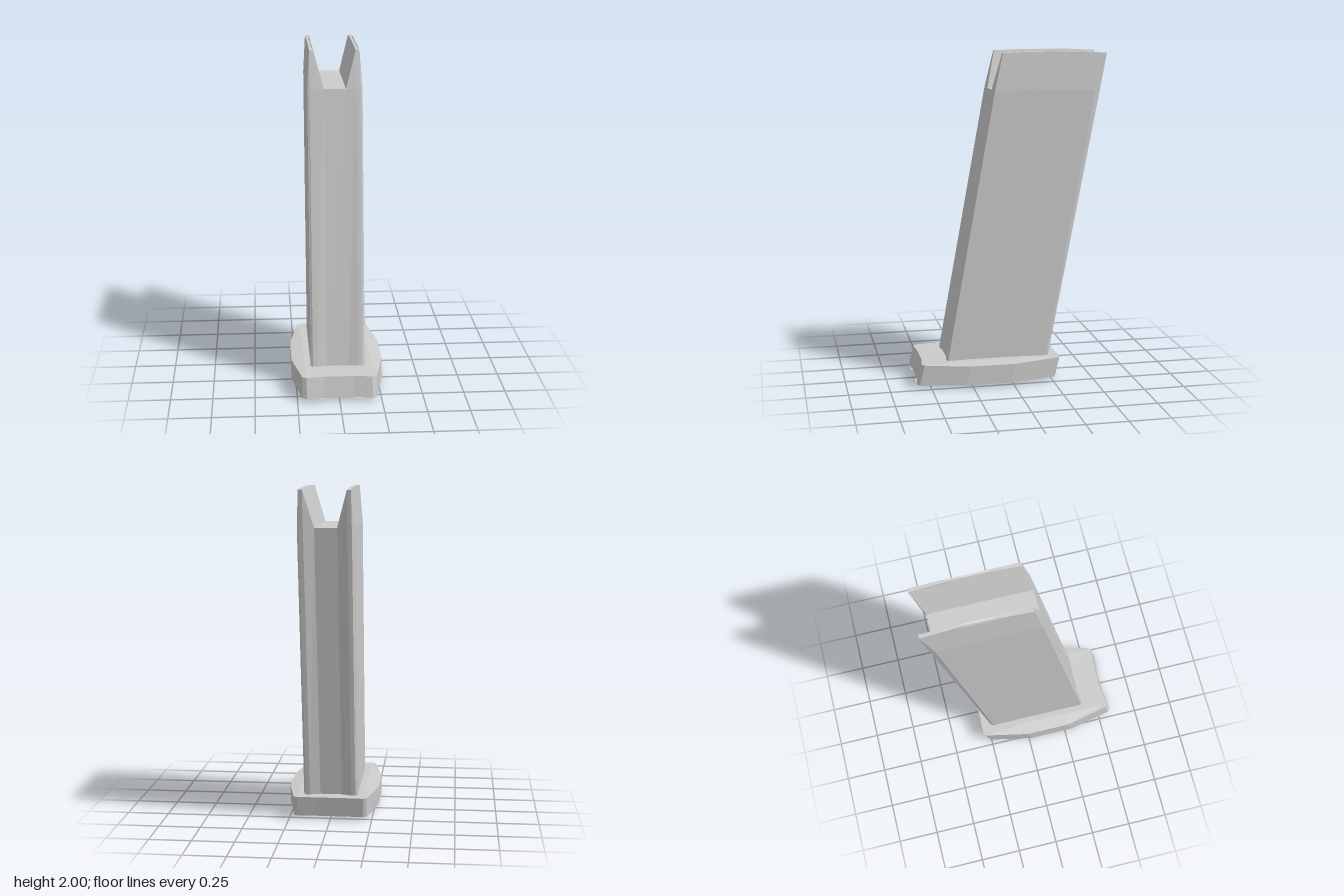
import * as THREE from 'three';

const material = new THREE.MeshStandardMaterial({ color: 0xcccccc, flatShading: true });

// Skin a stack of closed rings (bottom to top, counter-clockwise from above) and cap both ends.
function loft(name, rings) {
  const pos = [];
  const tri = (...points) => points.forEach((p) => pos.push(...p));
  const n = rings[0].length;
  for (let r = 0; r < rings.length - 1; r++) {
    for (let i = 0; i < n; i++) {
      const j = (i + 1) % n;
      const [a, b, c, d] = [rings[r][i], rings[r][j], rings[r + 1][j], rings[r + 1][i]];
      tri(a, b, c);
      tri(a, c, d);
    }
  }
  const cap = (ring, up) => {
    const mid = [0, 1, 2].map((k) => ring.reduce((s, p) => s + p[k], 0) / n);
    for (let i = 0; i < n; i++) {
      const j = (i + 1) % n;
      if (up) tri(mid, ring[i], ring[j]);
      else tri(mid, ring[j], ring[i]);
    }
  };
  cap(rings[0], false);
  cap(rings[rings.length - 1], true);
  const geometry = new THREE.BufferGeometry();
  geometry.setAttribute('position', new THREE.Float32BufferAttribute(pos, 3));
  geometry.computeVertexNormals();
  const mesh = new THREE.Mesh(geometry, material);
  mesh.name = name;
  return mesh;
}

const flip = (ring) => ring.map(([x, y, z]) => [-x, y, z]).reverse();
const mirrored = (half) => [...half, ...flip(half)];

export function createModel() {
  const group = new THREE.Group();
  group.name = 'magazine';

  // Leaning body with a shallow groove in front and a deeper one behind
  const columns = [0.065, 0.125, 0.15, 0.163, 0.163, 0.15, 0.125, 0.065];
  const lowZ = [0.387, 0.396, 0.396, 0.388, -0.222, -0.237, -0.237, -0.215];
  const highZ = [0.097, 0.099, 0.099, 0.095, -0.515, -0.546, -0.546, -0.515];
  const section = (y, zs) => columns.map((x, i) => [x, y, zs[i]]);
  const shoulder = 1.775;
  group.add(loft('body', [mirrored(section(0.14, lowZ)), mirrored(section(shoulder, highZ))]));

  // Two tapered feed lips, with slightly arched top edges
  const base = section(shoulder, highZ);
  base.splice(4, 0, [0.163, shoulder, -0.1], [0.163, shoulder, -0.4]);
  base.push([0.065, shoulder, -0.4], [0.065, shoulder, -0.1]);
  const topZ = [0.045, 0.045, 0.045, 0.045, -0.1, -0.4, -0.587, -0.587, -0.587, -0.587, -0.4, -0.1];
  const topY = (z) => (z > 0 ? 1.995 : z < -0.5 ? 1.99 : 2);
  const tip = base.map(([x], i) => [x < 0.14 ? 0.125 : 0.148, topY(topZ[i]), topZ[i]]);
  group.add(loft('leftFeedLip', [base, tip]));
  group.add(loft('rightFeedLip', [flip(base), flip(tip)]));

  // Floor plate: sheared sides, gently crowned top, two low bulges underneath
  const outline = [
    [0.09, 0.542], [0.195, 0.555], [0.22, 0.54], [0.276, 0.27],
    [0.276, -0.01], [0.22, -0.288], [0.2, -0.299], [0.09, -0.296],
  ];
  const plateRing = (maxX, shift, y) =>
    mirrored(outline.map(([x, z]) => [Math.min(x, maxX), y(x), z + shift]));
  group.add(loft('floorPlate', [
    plateRing(0.09, 0.028, () => 0.02),
    plateRing(0.215, 0.028, (x) => (x > 0.25 ? 0 : 0.02)),
    plateRing(1, 0.028, () => 0.02),
    plateRing(1, 0, (x) => (x > 0.25 ? 0.137 : 0.143)),
    plateRing(0.2, 0, (x) => (x > 0.25 ? 0.148 : 0.143)),
  ]));

  return group;
}
